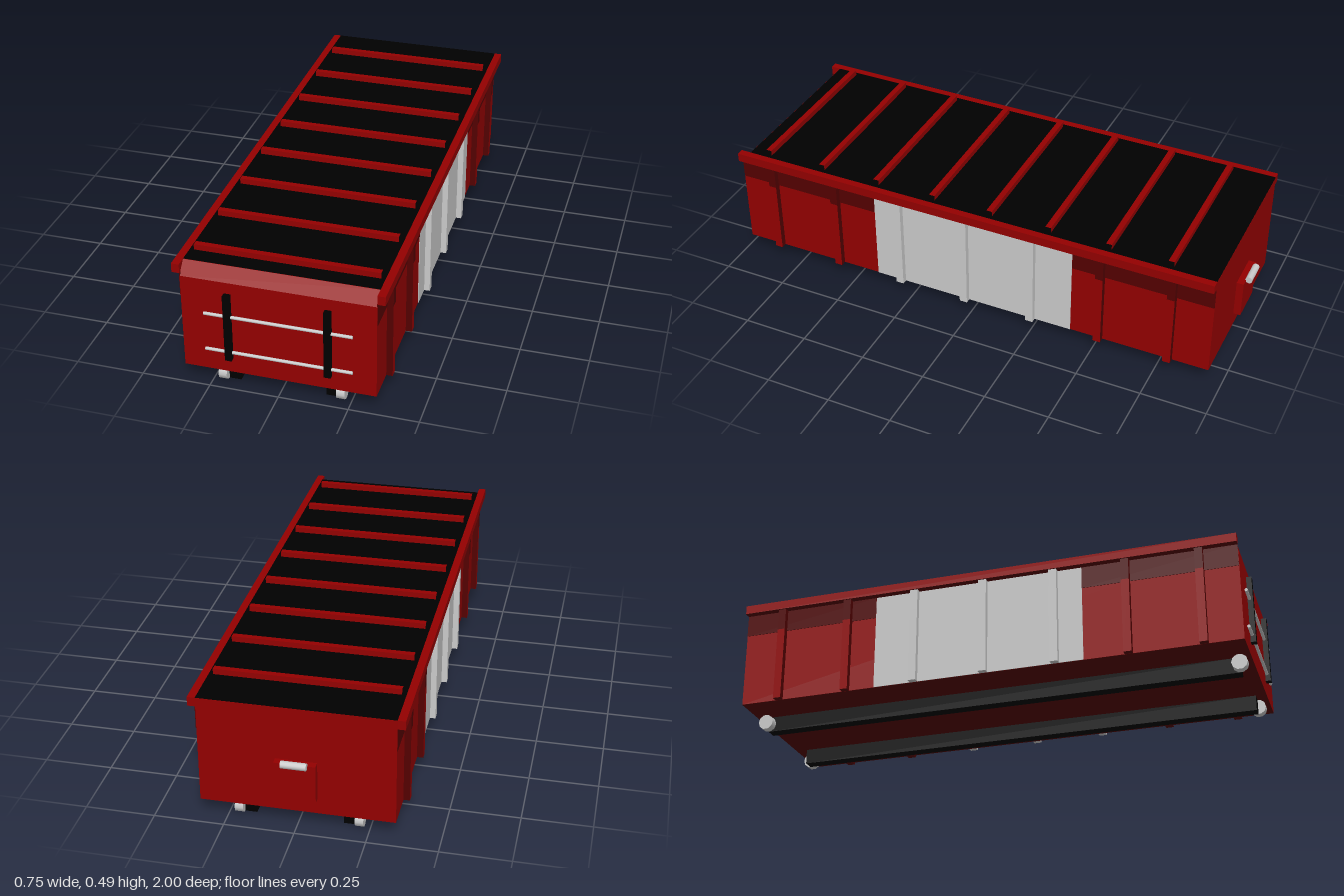
import * as THREE from 'three';

export function createModel() {
  const group = new THREE.Group();
  const mat = (name, color) => {
    const m = new THREE.MeshStandardMaterial({ color });
    m.name = name;
    return m;
  };
  const red = mat('red paint', 0x940000);
  const darkRed = mat('dark red paint', 0x540000);
  const grey = mat('light grey metal', 0xcbcbcb);
  const black = mat('black', 0x000000);

  const add = (name, geometry, material) => {
    const mesh = new THREE.Mesh(geometry, material);
    mesh.name = name;
    group.add(mesh);
    return mesh;
  };
  // box given by its lower and upper limits on each axis
  const box = (name, material, x0, x1, y0, y1, z0, z1) => {
    const mesh = add(name, new THREE.BoxGeometry(x1 - x0, y1 - y0, z1 - z0), material);
    mesh.position.set((x0 + x1) / 2, (y0 + y1) / 2, (z0 + z1) / 2);
    return mesh;
  };
  // cylinder lying along x
  const rod = (name, material, r, length, sides, x, y, z) =>
    add(name, new THREE.CylinderGeometry(r, r, length, sides).rotateZ(Math.PI / 2), material)
      .position.set(x, y, z);

  const back = -0.95, front = 0.98, wall = 0.345, top = 0.468, slopeZ = 0.94;
  const railY = 0.435, bandY = 0.35, floorY = 0.06;

  // container body with a sloped upper front edge
  const profile = new THREE.Shape([
    [back, floorY], [front, floorY], [front, 0.425], [slopeZ, top], [back, top],
  ].map(([z, y]) => new THREE.Vector2(z, y)));
  const bodyGeometry = new THREE.ExtrudeGeometry(profile, { depth: wall * 2, bevelEnabled: false });
  bodyGeometry.translate(0, 0, -wall).rotateY(-Math.PI / 2);
  add('body', bodyGeometry, red);

  // roof cover and underside sheets
  add('roofCover', new THREE.PlaneGeometry(wall * 2, slopeZ - back).rotateX(-Math.PI / 2), black)
    .position.set(0, top + 0.001, (slopeZ + back) / 2);
  add('underside', new THREE.PlaneGeometry(wall * 2, front - back).rotateX(Math.PI / 2), darkRed)
    .position.set(0, floorY - 0.001, (front + back) / 2);

  // cross ribs, open at both ends
  for (let i = 0; i < 8; i++) {
    const z = -0.776 + i * 0.2345;
    const rib = box('roofRib', red, -0.33, 0.33, top, 0.49, z - 0.011, z + 0.011);
    rib.geometry.setIndex([...rib.geometry.index.array].slice(12));
    rib.geometry.clearGroups();
  }

  // face materials in the order +x, -x, +y, -y, +z, -z
  const railPaint = [red, red, red, darkRed, red, red];
  const postPaint = [red, red, darkRed, darkRed, darkRed, darkRed];

  for (const s of [-1, 1]) {
    const side = (name, material, a, b, ...rest) =>
      box(name, material, Math.min(s * a, s * b), Math.max(s * a, s * b), ...rest);

    // top rail, grey side panel and dark bands below the rail
    side('topRail', railPaint, wall, 0.373, railY, top + 0.001, back, front);
    side('sidePanel', grey, wall - 0.002, wall + 0.002, floorY, railY, -0.41, 0.4);
    for (const [z0, z1] of [[back, -0.41], [0.4, front]]) {
      side('darkBand', darkRed, wall - 0.002, wall + 0.002, bandY, railY, z0, z1 - 0.001);
    }

    // side posts, the red ones dark at the top
    for (let i = 0; i < 7; i++) {
      const z = 0.839 - i * 0.2725;
      const isGrey = i > 1 && i < 5;
      side('sidePost', isGrey ? grey : postPaint, wall, 0.368, floorY, bandY, z - 0.015, z + 0.015);
      side('sidePostTop', isGrey ? grey : darkRed, wall, 0.368, bandY, railY, z - 0.015, z + 0.015);
    }

    // skid with a roller at each end
    side('skid', black, 0.155, 0.198, 0, floorY, -0.905, 0.94);
    for (const z of [-0.905, 0.94]) rod('roller', grey, 0.03, 0.03, 10, s * 0.213, 0.03, z);

    // upright bar on the front door
    side('doorBar', black, 0.165, 0.189, 0.118, 0.382, front, 1);
  }

  // rods across the front door
  for (const y of [0.147, 0.293]) rod('doorRod', grey, 0.006, 0.526, 12, 0, y, 0.987);

  // hook block and bar on the back
  box('hookBlock', red, -0.073, 0.073, 0.12, 0.265, -0.977, back);
  rod('hookBar', grey, 0.0135, 0.09, 12, 0, 0.268, -0.9865);

  return group;
}
